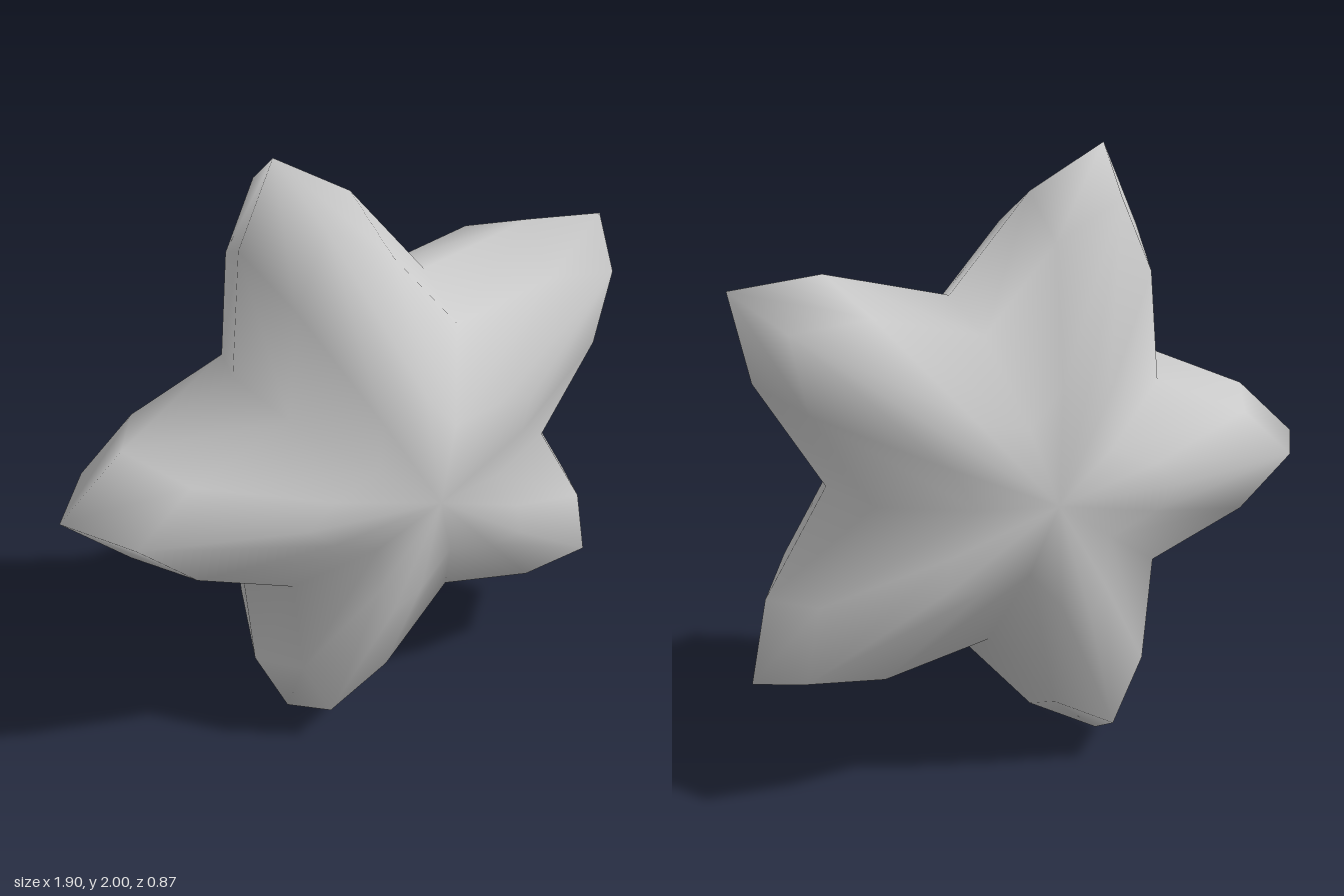
import * as THREE from 'three';

// Puffy five-armed star: one star outline, scaled in layers from front to back.
export function createModel() {
  const group = new THREE.Group();
  const centre = new THREE.Vector2(0.1, 1);

  // Outline of one arm: [angle from the arm axis in degrees, radius]
  const arm = [[-36, 0.588], [-12.75, 0.863], [0, 1.05], [12.75, 0.863]];
  const outline = [];
  for (let i = 0; i < 5; i++) {
    for (const [offset, r] of arm) {
      const a = THREE.MathUtils.degToRad(36 + 72 * i + offset);
      outline.push([r * Math.cos(a), r * Math.sin(a)]);
    }
  }

  // Layers: [z, scale of the outline]
  const layers = [[0.385, 0.4], [0.24, 0.857], [0, 1], [-0.24, 0.857], [-0.385, 0.4]];
  const depth = 0.435;
  const n = outline.length;

  const positions = [];
  for (const [z, s] of layers) {
    for (const [x, y] of outline) positions.push(centre.x + x * s, centre.y + y * s, z);
  }
  const frontPole = layers.length * n;
  const backPole = frontPole + 1;
  positions.push(centre.x, centre.y, depth, centre.x, centre.y, -depth);

  const index = [];
  for (let j = 0; j < n; j++) {
    const k = (j + 1) % n;
    const last = (layers.length - 1) * n;
    index.push(frontPole, j, k, last + j, backPole, last + k);
    for (let i = 0; i < layers.length - 1; i++) {
      const a = i * n + j, b = i * n + k, c = a + n, d = b + n;
      // Diagonals mirror about each arm axis and about the middle layer
      if ((j % 4 < 2) === (i < 2)) index.push(a, c, d, a, d, b);
      else index.push(a, c, b, b, c, d);
    }
  }

  const geometry = new THREE.BufferGeometry();
  geometry.setAttribute('position', new THREE.Float32BufferAttribute(positions, 3));
  geometry.setIndex(index);
  geometry.computeVertexNormals();

  const star = new THREE.Mesh(geometry, new THREE.MeshStandardMaterial({ color: 0xcccccc }));
  star.name = 'starBody';
  group.add(star);
  return group;
}
